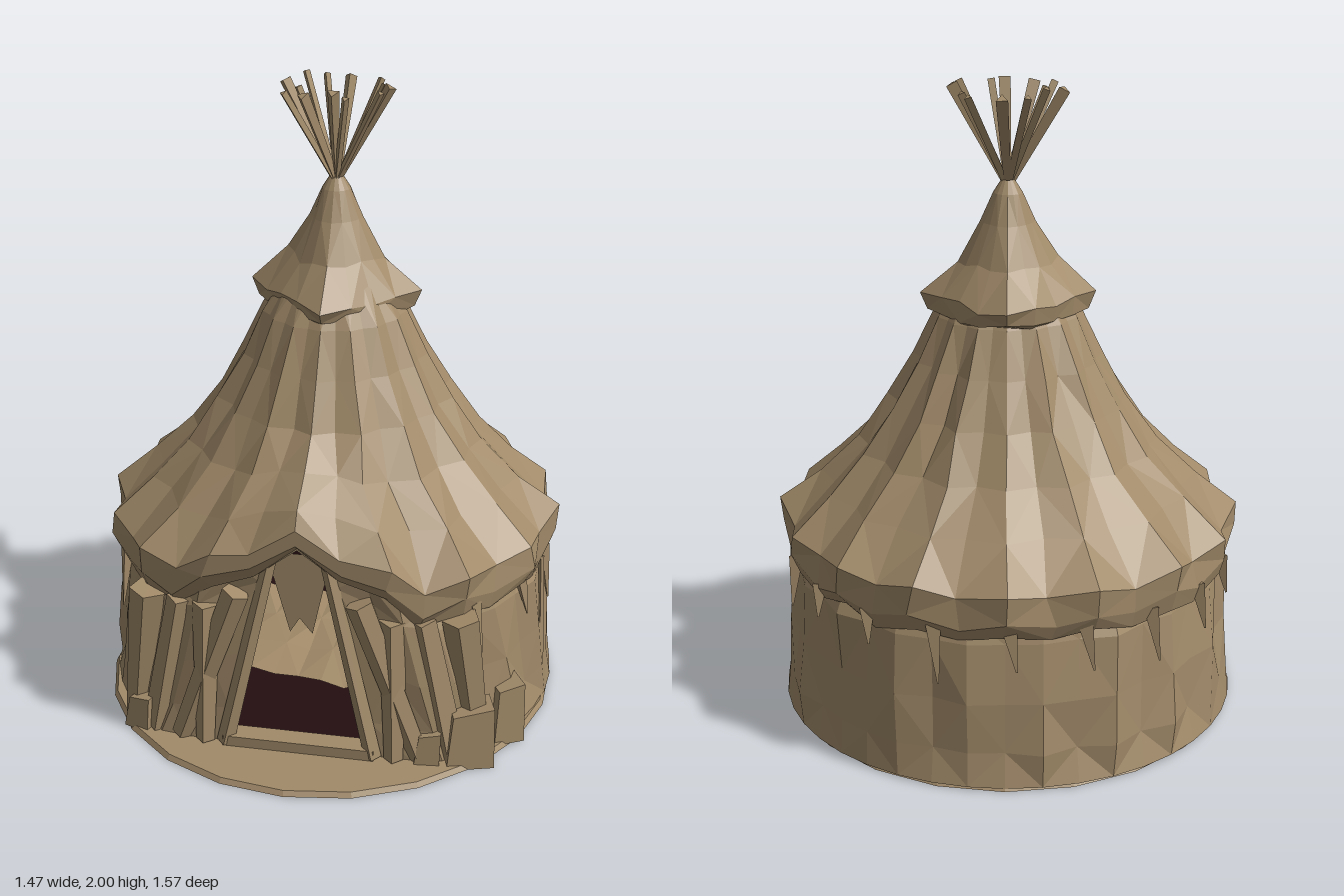
import * as THREE from 'three';

const CZ = -0.05; // centre line of the tent
const hide = new THREE.MeshStandardMaterial({ color: 0xa18a69, side: THREE.DoubleSide, flatShading: true });
hide.name = 'tanHide';
const dark = new THREE.MeshStandardMaterial({ color: 0x240d11, side: THREE.DoubleSide, flatShading: true });
dark.name = 'darkInterior';

// repeatable wobble in -1..1
const wobble = (i, j) => {
  const s = Math.sin(i * 127.1 + j * 311.7) * 43758.5453;
  return (s - Math.floor(s)) * 2 - 1;
};

// surface from a grid of points, rows running top to bottom
function grid(rows, cols, point) {
  const pos = [], index = [];
  for (let i = 0; i < rows; i++) for (let j = 0; j <= cols; j++) pos.push(...point(i, j));
  for (let i = 0; i < rows - 1; i++) for (let j = 0; j < cols; j++) {
    const a = i * (cols + 1) + j, b = a + cols + 1;
    if ((i + j) % 2) index.push(a, b, b + 1, a, b + 1, a + 1);
    else index.push(a, b, a + 1, b, b + 1, a + 1);
  }
  const g = new THREE.BufferGeometry();
  g.setAttribute('position', new THREE.Float32BufferAttribute(pos, 3));
  g.setIndex(index);
  const flat = g.toNonIndexed();
  flat.computeVertexNormals();
  return flat;
}

// tapered bar between two points
function bar(from, to, r0, r1, sides = 4) {
  const a = new THREE.Vector3(...from), b = new THREE.Vector3(...to);
  const d = b.clone().sub(a);
  const g = new THREE.CylinderGeometry(r1, r0, d.length(), sides);
  g.applyQuaternion(new THREE.Quaternion().setFromUnitVectors(new THREE.Vector3(0, 1, 0), d.normalize()));
  g.translate(...a.add(b).multiplyScalar(0.5).toArray());
  return g;
}

export function createModel() {
  const group = new THREE.Group();
  const add = (name, geometry, material = hide) => {
    const m = new THREE.Mesh(geometry, material);
    m.name = name;
    group.add(m);
    return m;
  };
  const frontness = (t, width) => Math.max(0, 1 - Math.abs(Math.atan2(Math.sin(t), Math.cos(t))) / width);

  // ground plate
  const plate = new THREE.CylinderGeometry(0.72, 0.73, 0.016, 22);
  plate.scale(1, 1, 0.78 / 0.73);
  plate.translate(0, 0.008, 0);
  add('groundPlate', plate);

  // roof: [height, radius, fold depth, front lift]
  const roof = [
    [1.40, 0.15, 0, 0], [1.28, 0.225, 0.006, 0], [1.14, 0.288, 0.01, 0], [1.0, 0.365, 0.012, 0],
    [0.86, 0.46, 0.014, 0.06], [0.74, 0.575, 0.018, 0.11], [0.62, 0.712, 0.018, 0.15],
    [0.535, 0.715, 0.014, 0.2], [0.483, 0.69, 0.012, 0.235], [0.52, 0.64, 0, 0.2],
  ];
  const ribs = 32;
  add('roof', grid(roof.length, ribs, (i, j) => {
    const k = j % ribs, t = (k / ribs) * Math.PI * 2;
    const [y, r, fold, lift] = roof[i];
    const side = k % 2 ? -1 : 1, edge = i > 5 && i < 9 ? 1 : 0;
    const rr = r + fold * side + (i > 1 ? 0.008 * wobble(i, k) : 0);
    const tt = t + (i > 2 && k ? 0.025 * wobble(k, i + 9) : 0);
    const yy = y + lift * frontness(t, 0.6) + edge * (0.018 * side + 0.012 * wobble(k, i));
    return [rr * Math.sin(tt), yy, Math.min(CZ + rr * Math.cos(tt), i > 7 ? 0.55 : 0.575)];
  }));

  // wall, open at the front, its edges leaning together over the doorway
  const wall = [[1, 0.66], [0.85, 0.685], [0.5, 0.7], [0.2, 0.715], [0, 0.728]];
  const wallCols = 36;
  add('wall', grid(wall.length, wallCols, (i, j) => {
    const [h, r] = wall[i];
    const start = 0.36 - 0.22 * h;
    const t = start + (j / wallCols) * (Math.PI * 2 - 2 * start);
    const inner = i > 0 && i < 4 && j > 0 && j < wallCols ? 1 : 0;
    const rr = r + inner * (0.012 * wobble(i, j) + (j % 2 ? 0.008 : -0.01));
    const top = 0.53 + 0.22 * frontness(t, 0.6);
    return [rr * Math.sin(t), 0.01 + h * top, Math.min(CZ + rr * Math.cos(t), 0.535 + 0.02 * inner * wobble(j, i))];
  }));

  // dark lining behind the doorway
  const lining = [[1.2, 0.1], [0.75, 0.42], [0.5, 0.6], [0.02, 0.64]];
  add('innerLining', grid(lining.length, 24, (i, j) => {
    const t = 0.5 + (j / 24) * (Math.PI * 2 - 1);
    const [y, r] = lining[i];
    return [r * Math.sin(t), y, Math.min(CZ + r * Math.cos(t), 0.48)];
  }), dark);
  const floor = new THREE.CircleGeometry(0.58, 20);
  floor.rotateX(-Math.PI / 2);
  floor.translate(0, 0.025, CZ);
  add('darkFloor', floor, dark);

  // raised uneven floor in the rear of the room
  add('rearFloor', grid(4, 10, (i, j) => {
    const x = -0.4 + j * 0.08;
    return [x, 0.05 + 0.015 * wobble(i, j), -0.42 + i * 0.2 + (i === 3 ? 0.03 * wobble(j, 4) : 0)];
  }));

  // doorway: sill, posts and draped side folds
  const sill = new THREE.BoxGeometry(0.48, 0.04, 0.07);
  sill.translate(0, 0.03, 0.53);
  add('doorSill', sill);
  for (const s of [-1, 1]) {
    add('doorPost', bar([s * 0.235, 0.02, 0.545], [s * 0.085, 0.69, 0.53], 0.028, 0.022));
    add('doorDrape', bar([s * 0.38, 0.02, 0.52], [s * 0.19, 0.56, 0.545], 0.035, 0.045, 5));
    add('drapeFold', bar([s * 0.3, 0.02, 0.545], [s * 0.29, 0.5, 0.53], 0.03, 0.045));
    add('cornerFold', bar([s * 0.55, 0.02, 0.43], [s * 0.49, 0.5, 0.47], 0.04, 0.06, 5));
    add('cornerFold', bar([s * 0.47, 0.02, 0.48], [s * 0.38, 0.5, 0.51], 0.05, 0.04));
    add('sideStrap', bar([s * 0.705, 0.05, 0.05], [s * 0.69, 0.5, 0.03], 0.012, 0.01, 3));
  }

  // torn flap hanging over the doorway
  const flap = new THREE.Shape([[-0.09, 0.64], [-0.03, 0.42], [0.0, 0.47], [0.04, 0.42], [0.09, 0.65], [0.06, 0.69], [-0.06, 0.69]]
    .map(([x, y]) => new THREE.Vector2(x, y)));
  const flapGeometry = new THREE.ShapeGeometry(flap);
  flapGeometry.translate(0, 0, 0.515);
  add('doorFlap', flapGeometry);

  // pointed hide ends hanging below the eaves
  for (let k = 0; k < 15; k++) {
    const t = 0.85 + k * 0.33, len = 0.11 + 0.07 * wobble(k, 3);
    const at = (r, y, dt) => [r * Math.sin(t + dt), y, CZ + r * Math.cos(t + dt)];
    add('eaveTassel', bar(at(0.712, 0.47 - len, 0.03), at(0.69, 0.52, 0), 0.003, 0.026, 3));
  }

  // smoke cap with a four-cornered brim: [height, radius, corner strength]
  const cap = [[1.7, 0.02, 0], [1.66, 0.045, 0], [1.57, 0.085, 0.1], [1.45, 0.155, 0.15], [1.345, 0.272, 0.25], [1.3, 0.25, 0.2], [1.28, 0.2, 0]];
  add('smokeCap', grid(cap.length, 16, (i, j) => {
    const k = j % 16, t = (k / 16) * Math.PI * 2;
    const [y, r, corner] = cap[i];
    const rr = r * (1 - corner * Math.abs(Math.sin(2 * t))) + (i > 1 && k % 4 ? 0.006 * wobble(i, k) : 0);
    return [rr * Math.sin(t), y + (i > 2 ? 0.012 * wobble(k, i) : 0), -0.075 + rr * Math.cos(t)];
  }));

  // crossed pole tips
  const poles = 13;
  for (let k = 0; k < poles; k++) {
    const t = (k / poles) * Math.PI * 2 + 0.15 * wobble(k, 1);
    const r = 0.15 + 0.04 * wobble(k, 2), x = Math.sin(t), z = Math.cos(t);
    const top = 1.985 + 0.012 * wobble(k, 5);
    add('poleTip', bar([-x * 0.02, 1.64, -0.07 - z * 0.02], [x * r, top, -0.07 + z * r], 0.011, k % 3 ? 0.013 : 0.021, 3));
  }

  // bundles and stones by the entrance
  const bundles = [
    [0.52, 0.095, 0.47, 0.15, 0.19, 0.12, 0.3], [0.61, 0.1, 0.31, 0.1, 0.19, 0.13, 0.5],
    [-0.52, 0.06, 0.47, 0.09, 0.11, 0.09, -0.4], [0.4, 0.06, 0.52, 0.08, 0.11, 0.07, 0.1],
  ];
  bundles.forEach(([x, y, z, w, h, d, turn], n) => {
    const g = new THREE.BoxGeometry(w, h, d);
    const p = g.attributes.position;
    for (let i = 0; i < p.count; i++) if (p.getY(i) > 0) p.setXYZ(i, p.getX(i) * 0.85 + 0.01, p.getY(i) + p.getX(i) * 0.15, p.getZ(i) * 0.8);
    g.computeVertexNormals();
    const m = add(n < 2 ? 'bundle' : 'stone', g);
    m.position.set(x, y, z);
    m.rotation.y = turn;
  });

  return group;
}
